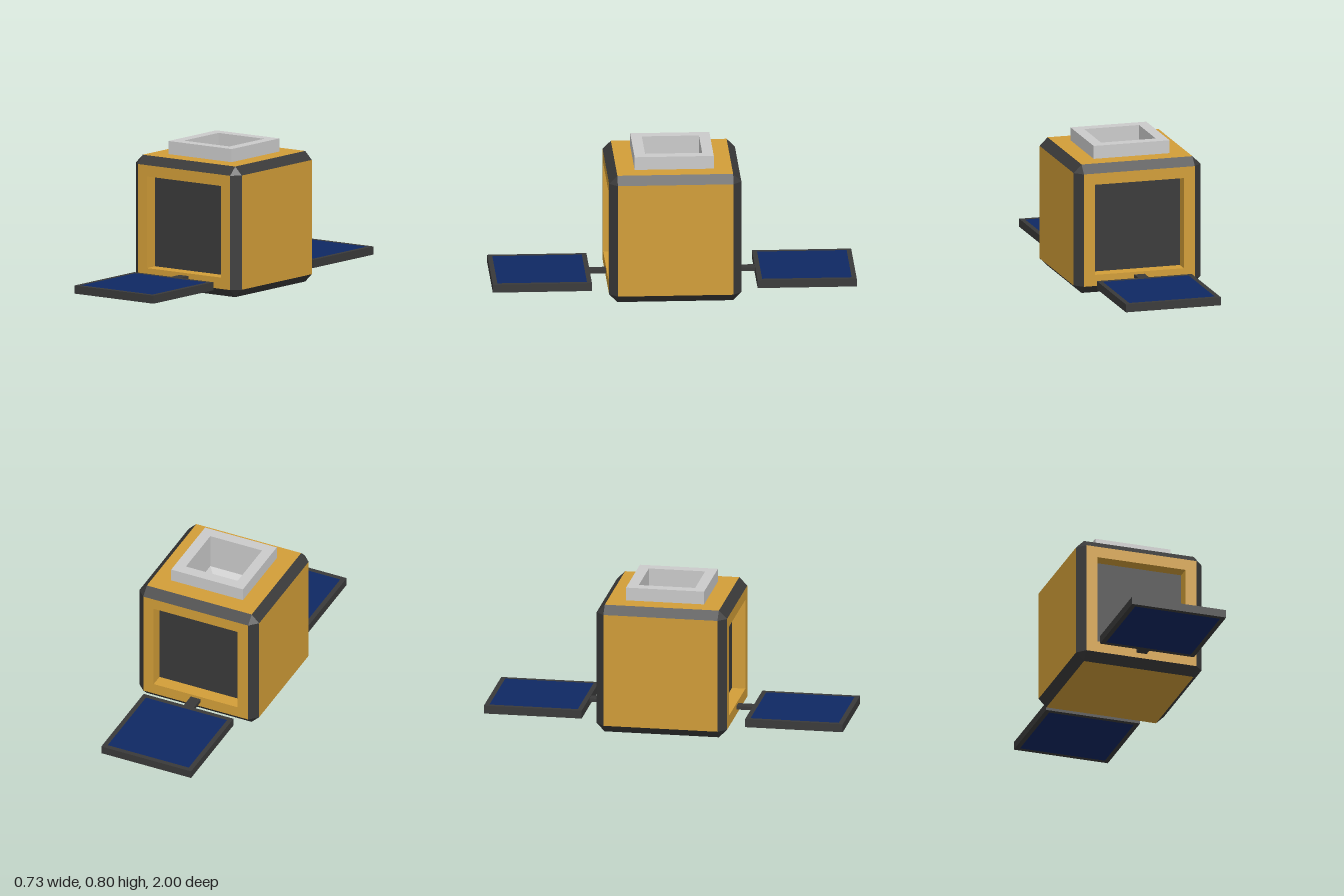
import * as THREE from 'three';
import { mergeGeometries } from 'three/addons/utils/BufferGeometryUtils.js';

const H = 0.3635; // half size of the body
const F = 0.318; // half size of each flat face
const WINDOW = 0.255; // half size of the front and back windows
const SHAFT = 0.157; // half size of the top opening
const DEPTH = 0.075; // window depth

const material = (color, side = THREE.FrontSide) =>
  new THREE.MeshStandardMaterial({ color, side, flatShading: true });
const gold = material(0xd29e38, THREE.DoubleSide);
const dark = material(0x3a3a3a, THREE.DoubleSide);
const blue = material(0x0f2863);
const glass = material(0x3e9ad2);
const grey = material(0xcccccc, THREE.DoubleSide);

function add(parent, name, geometry, mat, x = 0, y = 0, z = 0) {
  const mesh = new THREE.Mesh(geometry, mat);
  mesh.name = name;
  mesh.position.set(x, y, z);
  parent.add(mesh);
  return mesh;
}

// Square outline with an optional square hole, given by half sizes
function squareShape(r, hole = 0) {
  const corners = (s) => [[-s, -s], [s, -s], [s, s], [-s, s]].map(([x, y]) => new THREE.Vector2(x, y));
  const shape = new THREE.Shape(corners(r));
  if (hole) shape.holes.push(new THREE.Path(corners(hole).reverse()));
  return shape;
}

const extrude = (shape, depth) => new THREE.ExtrudeGeometry(shape, { depth, bevelEnabled: false });

// Open square tube along z, from half size r0 at z = 0 to r1 at z = -depth
function squareTube(r0, r1, depth) {
  return new THREE.CylinderGeometry(r0 * Math.SQRT2, r1 * Math.SQRT2, depth, 4, 1, true)
    .rotateY(Math.PI / 4).rotateX(Math.PI / 2).translate(0, 0, -depth / 2);
}

// Bevel strips along the twelve edges and triangles on the eight corners
function bevelGeometry() {
  const parts = [];
  const m = (H + F) / 2;
  for (let axis = 0; axis < 3; axis++) {
    for (let k = 0; k < 4; k++) {
      const strip = new THREE.PlaneGeometry(2 * F, (H - F) * Math.SQRT2)
        .rotateX(-Math.PI / 4).translate(0, m, m).rotateX(k * Math.PI / 2);
      if (axis === 1) strip.rotateY(Math.PI / 2);
      if (axis === 2) strip.rotateZ(Math.PI / 2);
      strip.deleteAttribute('uv');
      parts.push(strip.toNonIndexed());
    }
  }
  for (const x of [-1, 1]) for (const y of [-1, 1]) for (const z of [-1, 1]) {
    const points = [[H * x, F * y, F * z], [F * x, H * y, F * z], [F * x, F * y, H * z]];
    if (x * y * z < 0) points.reverse();
    const corner = new THREE.BufferGeometry();
    corner.setAttribute('position', new THREE.Float32BufferAttribute(points.flat(), 3));
    corner.computeVertexNormals();
    parts.push(corner);
  }
  return mergeGeometries(parts);
}

// Each face is built facing +z and then turned into place
function addFace(body, name, hole, rx, ry) {
  const face = new THREE.Group();
  face.name = name;
  face.rotation.set(rx, ry, 0);
  body.add(face);
  add(face, name + 'Plate', new THREE.ShapeGeometry(squareShape(F, hole)), gold, 0, 0, H);
  return face;
}

function createSolarWing() {
  const wing = new THREE.Group();
  wing.name = 'solarWing';
  const half = 0.2725, cell = 0.246, thick = 0.045;
  const frame = extrude(squareShape(half, cell), thick).rotateX(-Math.PI / 2);
  add(wing, 'panelFrame', frame, dark, 0, 0.052, 1 - half);
  add(wing, 'solarCell', new THREE.BoxGeometry(2 * cell, thick, 2 * cell), blue, 0, 0.052 + thick / 2, 1 - half);
  add(wing, 'wingArm', new THREE.BoxGeometry(0.06, 0.019, 0.1), dark, 0, 0.0845, 0.41);
  return wing;
}

export function createModel() {
  const model = new THREE.Group();
  model.name = 'satellite';

  // Body
  const body = new THREE.Group();
  body.name = 'body';
  body.position.y = H;
  model.add(body);
  add(body, 'bevelledEdges', bevelGeometry(), dark);
  addFace(body, 'leftSide', 0, 0, Math.PI / 2);
  addFace(body, 'rightSide', 0, 0, -Math.PI / 2);
  addFace(body, 'underside', 0, Math.PI / 2, 0);

  // Recessed windows, front and back
  for (const [name, turn] of [['front', 0], ['back', Math.PI]]) {
    const face = addFace(body, name, WINDOW, 0, turn);
    add(face, 'windowWalls', squareTube(WINDOW, WINDOW, DEPTH), gold, 0, 0, H);
    add(face, 'windowPanel', new THREE.PlaneGeometry(2 * WINDOW, 2 * WINDOW), dark, 0, 0, H - DEPTH);
  }

  // Top collar with a square shaft narrowing to a lens
  const top = addFace(body, 'top', SHAFT, -Math.PI / 2, 0);
  const straight = 0.13, taper = 0.08, lens = 0.078;
  add(top, 'collar', extrude(squareShape(0.2175, SHAFT), 0.073), grey, 0, 0, H);
  add(top, 'shaft', squareTube(SHAFT, SHAFT, straight), grey, 0, 0, H);
  add(top, 'funnel', squareTube(SHAFT, lens, taper), grey, 0, 0, H - straight);
  add(top, 'lens', new THREE.PlaneGeometry(2 * lens, 2 * lens), glass, 0, 0, H - straight - taper);

  // Solar wings, front and back
  for (const turn of [0, Math.PI]) {
    const wing = createSolarWing();
    wing.rotation.y = turn;
    model.add(wing);
  }
  return model;
}
